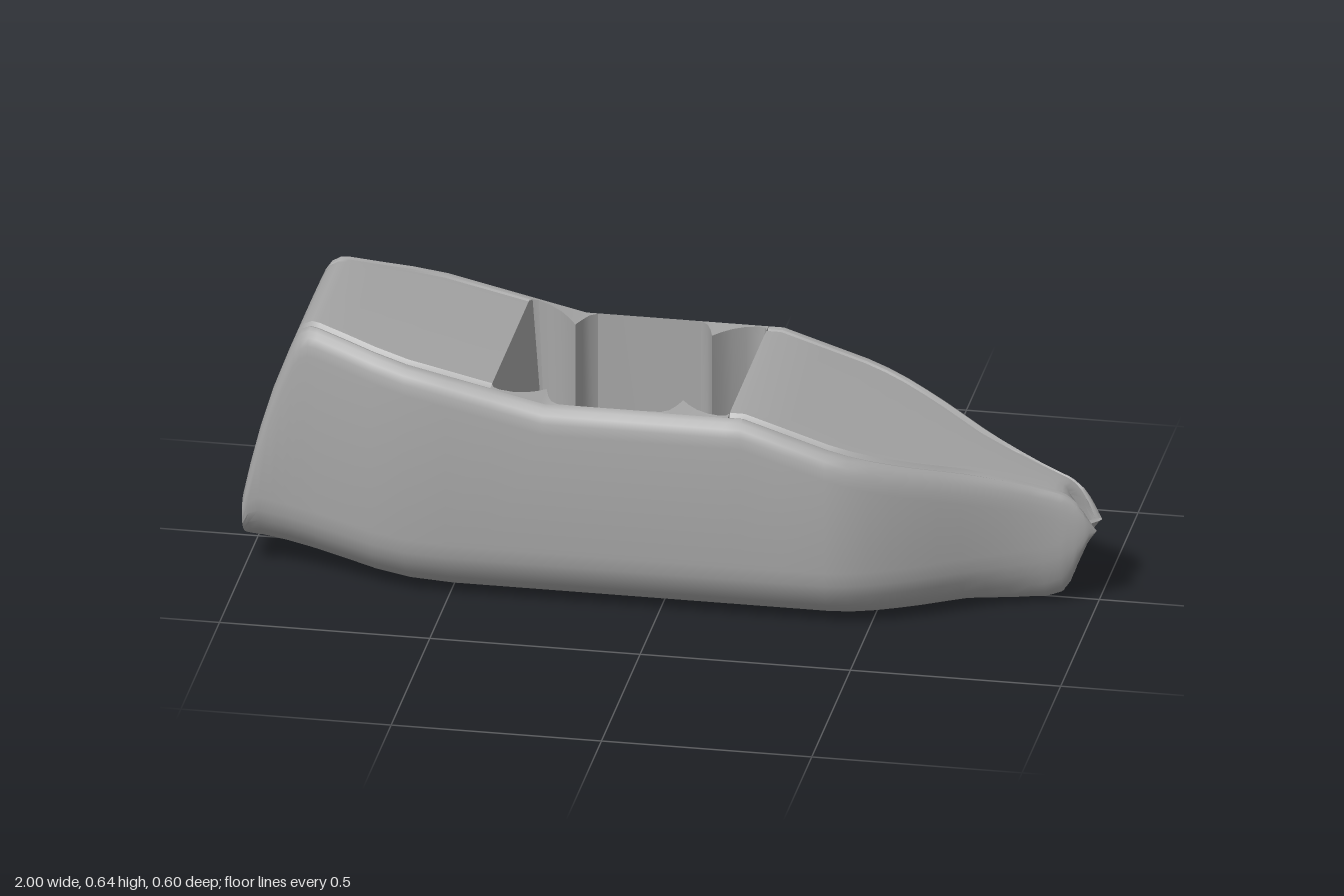
import * as THREE from 'three';
import { toCreasedNormals } from 'three/addons/utils/BufferGeometryUtils.js';

// Piecewise linear lookup in a list of [x, value]
function lookup(table, x) {
  let i = 0;
  while (i < table.length - 2 && x > table[i + 1][0]) i++;
  const [x0, v0] = table[i], [x1, v1] = table[i + 1];
  return v0 + (v1 - v0) * Math.min(1, Math.max(0, (x - x0) / (x1 - x0)));
}

// Hull lines from stern (-x) to bow (+x)
const sheer = [[-1, 0.2], [-0.985, 0.27], [-0.96, 0.37], [-0.93, 0.47], [-0.9, 0.55], [-0.875, 0.61],
  [-0.86, 0.632], [-0.84, 0.642], [-0.82, 0.641], [-0.27, 0.517], [0.2, 0.517], [0.93, 0.285],
  [0.96, 0.265], [0.98, 0.24], [1, 0.195]];
const keel = [[-1, 0.06], [-0.985, 0.052], [-0.64, 0.008], [-0.5, 0], [0.8, 0], [0.88, 0.004],
  [0.92, 0.017], [0.95, 0.045], [0.975, 0.1], [1, 0.185]];
const beam = [[-1, 0.21], [-0.98, 0.217], [-0.9, 0.224], [-0.84, 0.236], [-0.75, 0.262], [-0.68, 0.284],
  [-0.6, 0.3], [0.4, 0.3], [0.45, 0.292], [0.5, 0.276], [0.55, 0.253], [0.6, 0.227], [0.65, 0.197],
  [0.7, 0.166], [0.75, 0.136], [0.8, 0.11], [0.85, 0.087], [0.9, 0.071], [0.95, 0.06], [0.98, 0.052], [1, 0.035]];
const stations = [-1, -0.985, -0.96, -0.93, -0.9, -0.875, -0.86, -0.84, -0.82, -0.75, -0.68, -0.6, -0.5,
  -0.4, -0.27, -0.1, 0.05, 0.165, 0.2, 0.3, 0.4, 0.45, 0.5, 0.55, 0.6, 0.65, 0.7, 0.75, 0.8, 0.85, 0.88,
  0.9, 0.92, 0.935, 0.95, 0.96, 0.975, 0.985, 1];
const WELL_AFT = -0.4, WELL_FORE = 0.165, WELL_FLOOR = 0.06, RAIL_EDGE = 0.265;

// Section offsets [in from the beam, up from keel] and [in from the beam, down from sheer]
const chine = [[0.16, 0.003], [0.1, 0.01], [0.065, 0.027], [0.037, 0.053], [0.015, 0.085], [0.004, 0.115], [0, 0.15]];
const rail = [[0, 0.065], [0.004, 0.04], [0.011, 0.021], [0.022, 0.008], [0.035, 0.002],
  [0.044, 0.005], [0.049, 0.017], [0.055, 0.014], [0.064, 0.001], [0.09, 0]];
const INNER = 1 + chine.length + 4; // rail point where the cockpit opening starts

// Half section, keel centre to deck centre, as [z, y]
function halfSection(x) {
  const w = lookup(beam, x), t = lookup(sheer, x), b = lookup(keel, x);
  const kz = Math.min(1, w / 0.17), ky = Math.min(1, (t - b) / 0.25);
  return [[0, b],
    ...chine.map(([i, u]) => [w - i * kz, b + u * ky]),
    ...rail.map(([i, d]) => [w - i * kz, t - d * ky]),
    [0, t]];
}

function makeGeometry(positions, index, crease) {
  const g = new THREE.BufferGeometry();
  g.setAttribute('position', new THREE.Float32BufferAttribute(positions, 3));
  g.setIndex(index);
  return toCreasedNormals(g, crease);
}

function hullGeometry() {
  const pos = [], idx = [];
  let n = 0, last = 0;
  stations.forEach((x) => {
    const half = halfSection(x), w = lookup(beam, x);
    last = half.length - 1;
    const ring = [...half, ...half.slice(1, -1).reverse().map(([z, y]) => [-z, y])];
    n = ring.length;
    // hollow the stem between the two bow tips
    const hollow = 0.045 * THREE.MathUtils.smoothstep(x, 0.9, 1);
    ring.forEach(([z, y]) => pos.push(x - hollow * (1 - Math.abs(z) / w), y, z));
  });
  for (let i = 0; i < stations.length - 1; i++) {
    const open = stations[i] >= WELL_AFT && stations[i + 1] <= WELL_FORE;
    for (let j = 0; j < n; j++) {
      if (open && j >= INNER && j < 2 * last - INNER) continue;
      const a = i * n + j, b = i * n + (j + 1) % n;
      idx.push(a, a + n, b + n, a, b + n, b);
    }
  }
  // stern cap
  pos.push(-1, 0.13, 0);
  const c = stations.length * n;
  for (let j = 0; j < n; j++) idx.push(c, j, (j + 1) % n);
  return makeGeometry(pos, idx, 0.75);
}

// Cockpit outline on one side, aft to fore, with two pinched ribs
const ribHalf = [[-0.4, 0], [-0.4, 0.24], [-0.394, 0.253], [-0.38, 0.257], [-0.35, 0.25], [-0.32, 0.232],
  [-0.298, 0.21], [-0.28, 0.186], [-0.27, 0.22], [-0.258, 0.247], [-0.24, 0.261], [-0.2, 0.263]];
const outline = [...ribHalf,
  ...ribHalf.slice().reverse().map(([x, z]) => [WELL_AFT + WELL_FORE - x, z])];

// Strip between two rows of points, flipped for the mirrored side
function strip(rowA, rowB, flip, crease) {
  const pos = [...rowA, ...rowB].flat(), idx = [], n = rowA.length;
  for (let i = 0; i < n - 1; i++) {
    const q = [i, i + 1, n + i + 1, i, n + i + 1, n + i];
    idx.push(...(flip ? q.reverse() : q));
  }
  return makeGeometry(pos, idx, crease);
}

export function createModel() {
  const group = new THREE.Group();
  const grey = new THREE.MeshStandardMaterial({ color: 0xa6a6a6, side: THREE.DoubleSide });
  grey.name = 'hullGrey';
  const add = (name, geometry) => {
    const mesh = new THREE.Mesh(geometry, grey);
    mesh.name = name;
    group.add(mesh);
  };

  add('hull', hullGeometry());

  // Cockpit walls lean in at both ends
  const floorX = (x) => THREE.MathUtils.clamp(x, -0.36, 0.125);
  for (const s of [1, -1]) {
    const side = s > 0 ? 'left' : 'right';
    const top = outline.map(([x, z]) => [x, lookup(sheer, x) - 0.001, s * z]);
    const edge = outline.map(([x]) => [x, lookup(sheer, x) - 0.002, s * RAIL_EDGE]);
    const foot = outline.map(([x, z]) => [floorX(x), WELL_FLOOR, s * z]);
    add(side + 'CockpitRim', strip(edge, top, s < 0, 0.6));
    add(side + 'CockpitWall', strip(top, foot, s > 0, 0.6));
  }

  // Cockpit floor
  const floorRow = (s) => outline.map(([x, z]) => [floorX(x), WELL_FLOOR, s * z]);
  add('cockpitFloor', strip(floorRow(1), floorRow(-1), false, 0.6));

  return group;
}
